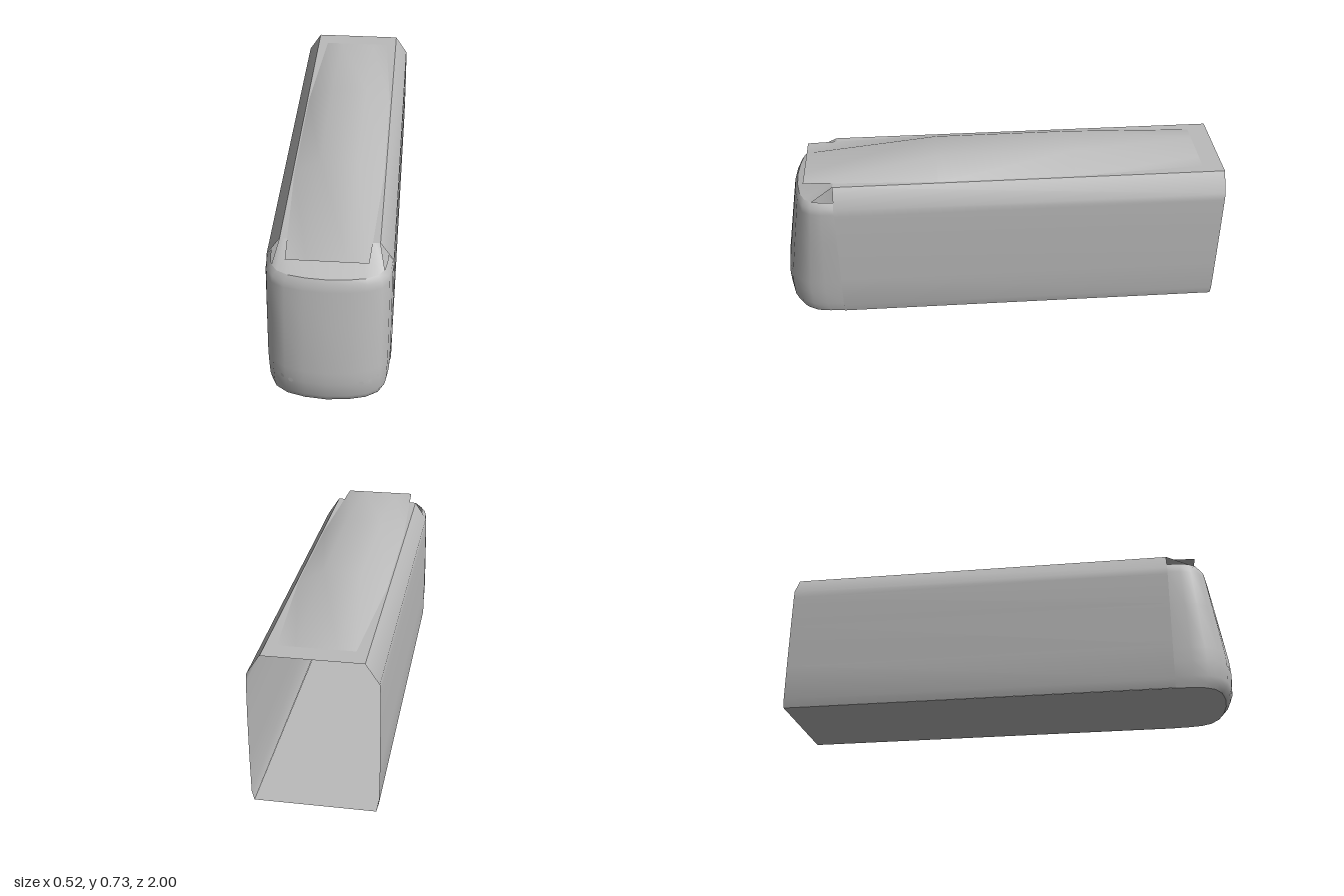
import * as THREE from 'three';
import { toCreasedNormals } from 'three/addons/utils/BufferGeometryUtils.js';

// Surface through equal-length rows of [x, y, z] points
function loft(rows, crease) {
  const n = rows[0].length, index = [];
  for (let r = 0; r < rows.length - 1; r++) {
    for (let c = 0; c < n - 1; c++) {
      const a = r * n + c, b = a + 1, d = a + n, e = d + 1;
      index.push(a, b, d, b, e, d);
    }
  }
  const g = new THREE.BufferGeometry();
  g.setAttribute('position', new THREE.Float32BufferAttribute(rows.flat(2), 3));
  g.setIndex(index);
  return toCreasedNormals(g, crease);
}

// Nose plan, side to centre: [share of half width, share of depth]
const PLAN = [[1, 0], [0.985, 0.3], [0.95, 0.55], [0.85, 0.75], [0.65, 0.89], [0.35, 0.97], [0, 1]];
const JOINT = 0.74;

function noseRing(y, w, zFront) {
  const half = PLAN.map(([u, t]) => [u * w, y, JOINT + t * (zFront - JOINT)]);
  const mirrored = half.map(([x, yy, z]) => [-x, yy, z]);
  return [...mirrored, ...half.slice(0, -1).reverse()];
}

export function createModel() {
  const group = new THREE.Group();
  const grey = new THREE.MeshStandardMaterial({ color: 0xbbbbbb, side: THREE.DoubleSide });
  grey.name = 'shell grey';
  const add = (name, geometry) => {
    const mesh = new THREE.Mesh(geometry, grey);
    mesh.name = name;
    group.add(mesh);
    return mesh;
  };

  // Long open-ended body: both walls and the roof
  const right = [[0.25, 0], [0.26, 0.04], [0.262, 0.2], [0.262, 0.4], [0.26, 0.55], [0.258, 0.585], [0.202, 0.67]];
  const section = [...right, ...right.map(([x, y]) => [-x, y]).reverse()];
  add('body', loft([-1, JOINT].map(z => section.map(([x, y]) => [x, y, z])).reverse(), 0.75));

  // Rounded nose
  const rings = [
    [0, 0.248, 0.965], [0.02, 0.252, 0.985], [0.05, 0.257, 0.996], [0.12, 0.26, 1],
    [0.18, 0.262, 0.995], [0.4, 0.261, 0.957], [0.56, 0.259, 0.929],
    [0.59, 0.255, 0.923], [0.612, 0.236, 0.91],
  ].map(r => noseRing(...r));
  add('nose', loft(rings, 0.8));

  // Sloping nose top, leaving a small notch at each shoulder
  const edge = rings[rings.length - 1].slice(2, -2);
  const scale = 0.202 / edge[edge.length - 1][0];
  add('noseTop', loft([edge, edge.map(([x]) => [x * scale, 0.67, JOINT])], 0.6));

  // Flat floor following the nose outline
  const floor = new THREE.Shape();
  floor.moveTo(-0.25, -1);
  rings[0].forEach(([x, , z]) => floor.lineTo(x, z));
  floor.lineTo(0.25, -1);
  add('floor', new THREE.ShapeGeometry(floor).rotateX(Math.PI / 2));

  // Raised roof fairing, overhanging the nose
  const fairing = [[0.87, 0.165, 0.671], [0.28, 0.195, 0.734], [-0.33, 0.195, 0.734], [-0.91, 0.155, 0.671]];
  add('roofFairing', loft(fairing.map(([z, w, y]) =>
    [[-w, 0.671, z], [-0.082, y, z], [0.082, y, z], [w, 0.671, z]]), 0.6));

  // Hexagonal lamps lying on the nose
  const lamps = [[0.145, 0.12, 0.012], [0.182, 0.128, 0.01], [0.212, 0.135, 0.007]];
  for (const side of [-1, 1]) {
    for (const [x, y, r] of lamps) {
      const u = x / 0.26;
      const i = PLAN.findIndex(p => p[0] <= u);
      const [u0, t0] = PLAN[i - 1], [u1, t1] = PLAN[i];
      const t = t0 + (t1 - t0) * (u - u0) / (u1 - u0);
      const slope = (t1 - t0) / (u0 - u1);
      const lamp = add('lamp', new THREE.CircleGeometry(r, 6));
      lamp.position.set(side * x, y, JOINT + t * 0.26 + 0.002);
      lamp.rotation.y = side * Math.atan(slope);
    }
  }
  return group;
}
